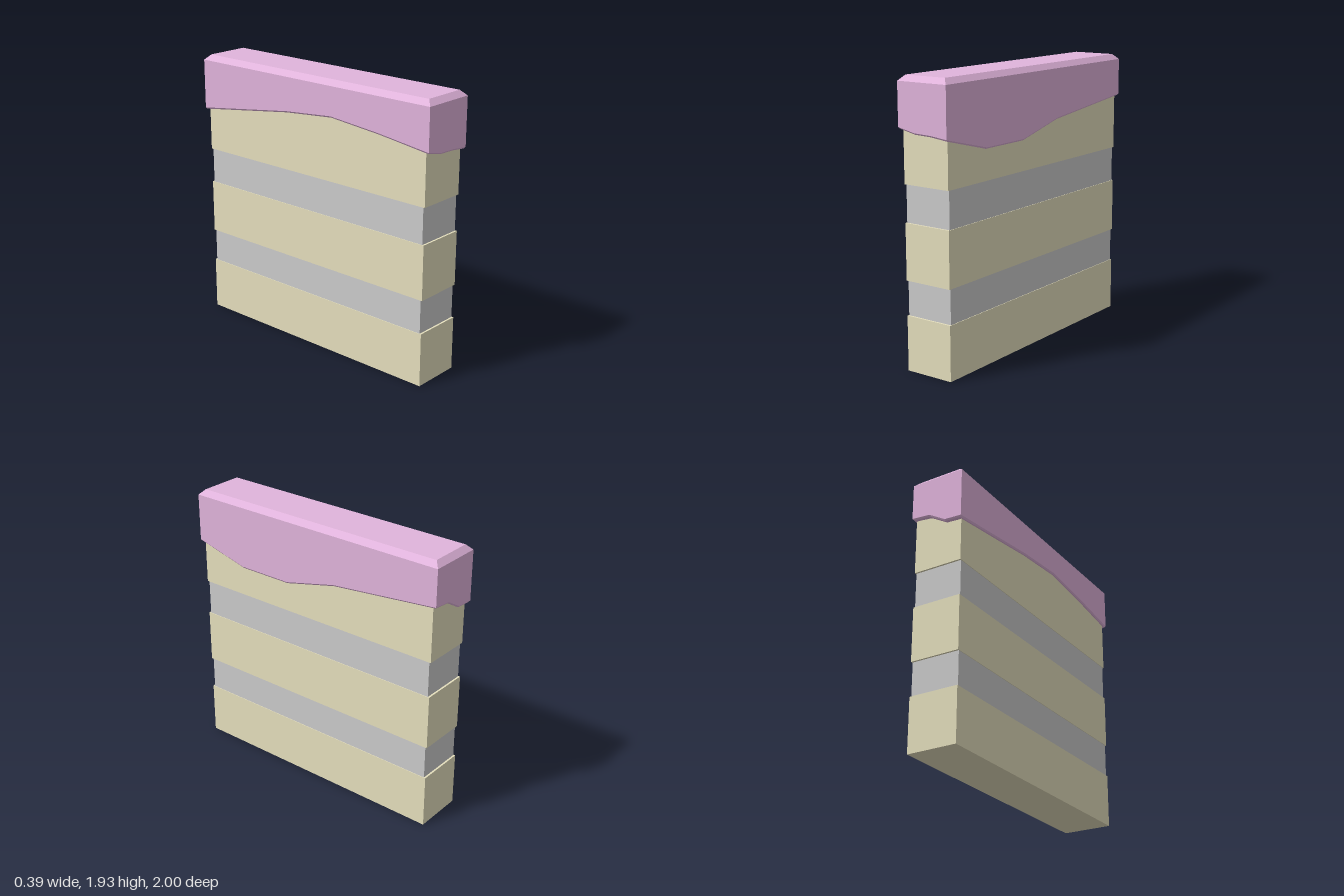
import * as THREE from 'three';

const tan = new THREE.MeshStandardMaterial({ color: 0xe5dfbd, flatShading: true });
const grey = new THREE.MeshStandardMaterial({ color: 0xcccccc, flatShading: true });
const pink = new THREE.MeshStandardMaterial({ color: 0xe1b4dc, flatShading: true });

const HX = 0.193, HZ = 1; // half size of the icing

// Lower edge of the icing, counter-clockwise seen from above: [x, z, y]
const edge = [
  [HX, HZ, 1.56], [HX, 0.6, 1.46], [HX, 0.2, 1.46], [HX, -0.2, 1.555],
  [HX, -HZ, 1.638], [0.055, -HZ, 1.625], [-0.068, -HZ, 1.552],
  [-HX, -HZ, 1.545], [-HX, -0.2, 1.657], [-HX, 0.2, 1.692], [-HX, 0.6, 1.655],
  [-HX, HZ, 1.605], [-0.062, HZ, 1.578], [0.062, HZ, 1.574],
];

// One loop of the icing, pulled in by inset
function ring(inset, height) {
  const clamp = THREE.MathUtils.clamp;
  return edge.map(([x, z, y]) => [
    clamp(x, inset - HX, HX - inset), height(y), clamp(z, inset - HZ, HZ - inset),
  ]);
}

function icingGeometry() {
  const rings = [
    ring(0.035, (y) => y - 0.01), // underside, tucked into the cake
    ring(0.008, (y) => y - 0.01), // lip
    ring(0, (y) => y), // wavy lower edge
    ring(0, () => 1.893), // shoulder
    ring(0.037, () => 1.93), // bevelled top
  ];
  const n = edge.length, pos = [];
  for (let r = 0; r < rings.length - 1; r++) {
    for (let i = 0; i < n; i++) {
      const j = (i + 1) % n;
      const a = rings[r][i], b = rings[r][j], c = rings[r + 1][j], d = rings[r + 1][i];
      pos.push(...a, ...b, ...c, ...a, ...c, ...d);
    }
  }
  const top = rings[rings.length - 1];
  for (let i = 0; i < n; i++) pos.push(0, 1.93, 0, ...top[i], ...top[(i + 1) % n]);
  const geo = new THREE.BufferGeometry();
  geo.setAttribute('position', new THREE.Float32BufferAttribute(pos, 3));
  geo.computeVertexNormals();
  return geo;
}

export function createModel() {
  const group = new THREE.Group();

  const layer = (name, y0, y1, hx, hz, material) => {
    const mesh = new THREE.Mesh(new THREE.BoxGeometry(2 * hx, y1 - y0, 2 * hz), material);
    mesh.position.y = (y0 + y1) / 2;
    mesh.name = name;
    group.add(mesh);
  };

  // Sponge layers with slightly recessed cream between them
  layer('bottomSponge', 0, 0.375, 0.177, 0.97, tan);
  layer('lowerCream', 0.375, 0.61, 0.173, 0.957, grey);
  layer('middleSponge', 0.61, 0.99, 0.177, 0.97, tan);
  layer('upperCream', 0.99, 1.24, 0.173, 0.957, grey);
  layer('topSponge', 1.24, 1.85, 0.177, 0.97, tan);

  // Icing cap draped over the top
  const icing = new THREE.Mesh(icingGeometry(), pink);
  icing.name = 'icing';
  group.add(icing);

  return group;
}
